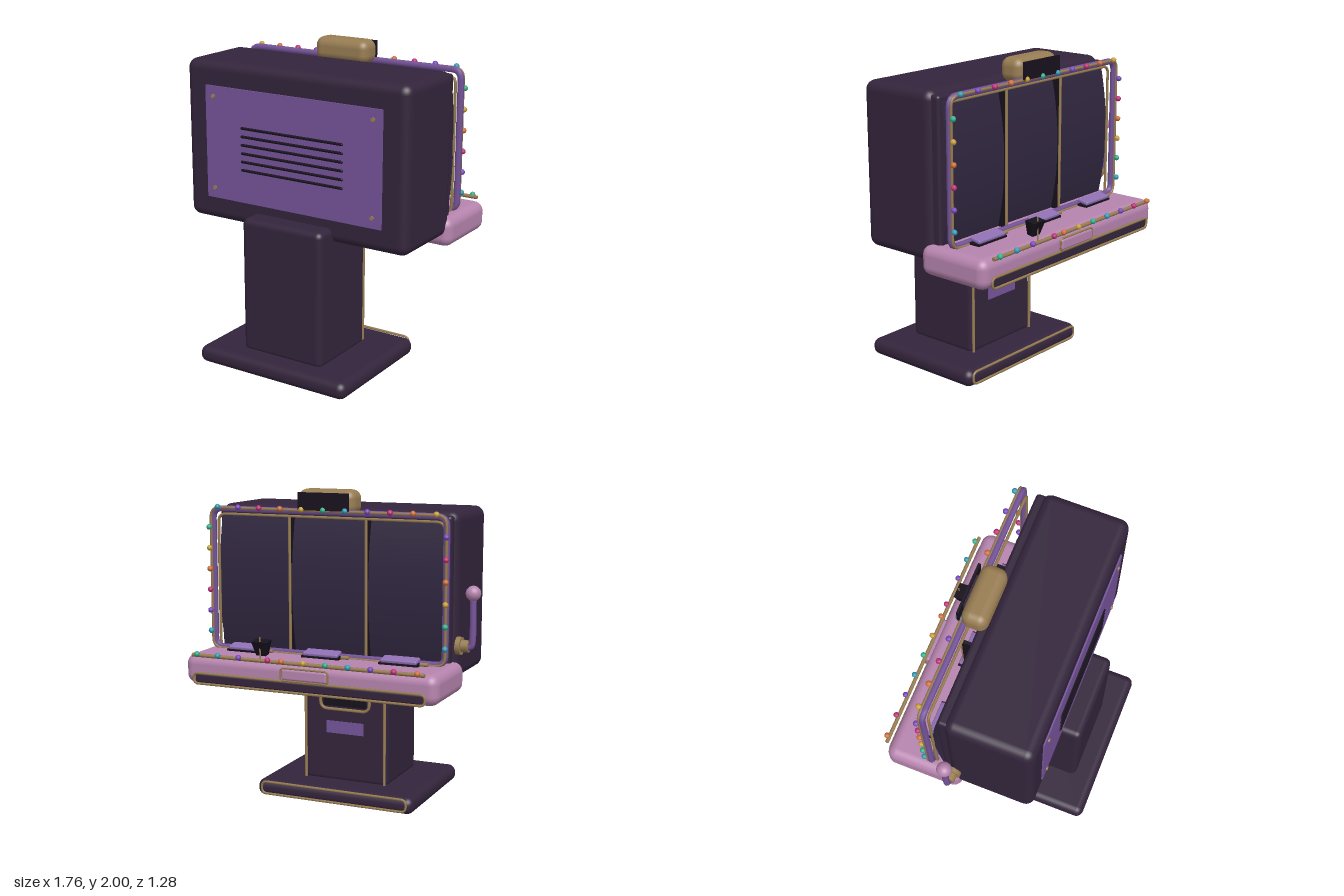
import * as THREE from 'three';
import { RoundedBoxGeometry } from 'three/addons/geometries/RoundedBoxGeometry.js';

const mat = (color, side = THREE.FrontSide) => new THREE.MeshStandardMaterial({ color, side });
const DARK = mat(0x33243b), REEL = mat(0x30263f, THREE.DoubleSide), BLACK = mat(0x17111d);
const PINK = mat(0xb684ae), PURPLE = mat(0x75549a), LILAC = mat(0x8f70b4), GOLD = mat(0x977c52);
const BULBS = [0xd0703a, 0xc02f78, 0x7a48c0, 0x2f9db8, 0x2fb08c, 0xc8a03c].map((c) => mat(c));
const CX = 0.05; // the cabinet's own centre line, shifted by the lever

export function createModel() {
  const root = new THREE.Group();

  function add(name, geometry, material, x = 0, y = 0, z = 0) {
    const mesh = new THREE.Mesh(geometry, material);
    mesh.name = name;
    mesh.position.set(x, y, z);
    root.add(mesh);
    return mesh;
  }
  // Box given by its limits, rounded when r > 0
  function block(name, material, [x0, x1], [y0, y1], [z0, z1], r = 0) {
    const size = [x1 - x0, y1 - y0, z1 - z0];
    const geo = r ? new RoundedBoxGeometry(...size, 4, r) : new THREE.BoxGeometry(...size);
    return add(name, geo, material, (x0 + x1) / 2, (y0 + y1) / 2, (z0 + z1) / 2);
  }
  // Rounded rectangular loop of tube in a plane of constant z
  function loop(name, material, [x0, x1], [y0, y1], z, corner, radius) {
    const path = new THREE.CurvePath();
    const v = (x, y) => new THREE.Vector3(x, y, z);
    const corners = [[x1, y0, 1, 0], [x1, y1, 0, 1], [x0, y1, -1, 0], [x0, y0, 0, -1]];
    let last = v(x0 + corner, y0);
    corners.forEach(([x, y, dx, dy]) => {
      const a = v(x - dx * corner, y - dy * corner);
      const b = v(x - dy * corner, y + dx * corner);
      path.add(new THREE.LineCurve3(last, a));
      path.add(new THREE.QuadraticBezierCurve3(a, v(x, y), b));
      last = b;
    });
    return add(name, new THREE.TubeGeometry(path, 200, radius, 6, true), material);
  }
  // Straight rod along one axis
  function rod(name, material, axis, length, radius, x, y, z, sides = 10) {
    const geo = new THREE.CylinderGeometry(radius, radius, length, sides);
    if (axis === 'x') geo.rotateZ(Math.PI / 2);
    if (axis === 'z') geo.rotateX(Math.PI / 2);
    return add(name, geo, material, x, y, z);
  }

  // Base and pedestal
  block('base', DARK, [-0.49, 0.59], [0, 0.11], [-0.22, 0.64], 0.05);
  loop('baseTrim', GOLD, [-0.45, 0.55], [0.023, 0.102], -0.22, 0.035, 0.008);
  block('pedestal', DARK, [-0.24, 0.34], [0.09, 0.965], [-0.015, 0.5], 0.04);
  for (const s of [-1, 1]) rod('pedestalTrim', GOLD, 'y', 0.76, 0.009, CX + s * 0.275, 0.48, -0.02);
  loop('trayTrim', GOLD, [-0.12, 0.22], [0.58, 0.73], -0.02, 0.05, 0.01);
  block('trayOpening', BLACK, [-0.1, 0.2], [0.6, 0.71], [-0.02, -0.01]);
  block('pedestalPlate', PURPLE, [-0.08, 0.18], [0.42, 0.5], [-0.021, -0.01]);

  // Thin curved tray lip
  const lip = new THREE.PlaneGeometry(0.2, 1, 1, 10);
  const lp = lip.attributes.position;
  for (let i = 0; i < lp.count; i++) {
    const t = lp.getY(i) + 0.5;
    lp.setXYZ(i, lp.getX(i) * (1 - 0.4 * t), 0.78 - 0.015 * t - 0.037 * t * t, -0.05 - 0.13 * t);
  }
  lip.computeVertexNormals();
  add('trayLip', lip, REEL, CX);

  // Cabinet
  block('cabinet', DARK, [-0.745, 0.845], [0.87, 1.885], [-0.175, 0.37], 0.06);
  block('cabinetFace', DARK, [-0.72, 0.82], [0.895, 1.86], [-0.215, -0.1], 0.02);

  // Service panel with vents and screws
  block('servicePanel', PURPLE, [-0.585, 0.68], [1.02, 1.735], [0.365, 0.38]);
  for (let i = 0; i < 6; i++) {
    const vent = add('vent', new THREE.CapsuleGeometry(0.009, 0.72, 3, 8), BLACK, CX, 1.495 - i * 0.053, 0.381);
    vent.rotation.z = Math.PI / 2;
  }
  for (const x of [-0.525, 0.62]) for (const y of [1.085, 1.67]) rod('screw', GOLD, 'z', 0.012, 0.013, x, y, 0.384, 12);

  // Bulging reel windows and the dividers between them
  for (let i = 0; i < 3; i++) {
    const reel = new THREE.PlaneGeometry(0.495, 0.87, 1, 16);
    const p = reel.attributes.position;
    for (let k = 0; k < p.count; k++) p.setZ(k, 0.052 * (1 - (p.getY(k) / 0.435) ** 2));
    reel.computeVertexNormals();
    reel.rotateY(Math.PI);
    add('reelWindow', reel, REEL, CX + (i - 1) * 0.505, 1.4, -0.214);
  }
  for (const x of [CX - 0.255, CX + 0.255]) {
    block('reelDivider', BLACK, [x - 0.01, x + 0.01], [0.97, 1.83], [-0.27, -0.21]);
    rod('dividerTrim', GOLD, 'y', 0.86, 0.009, x, 1.4, -0.274);
  }

  // Marquee frame: gold inner loop, purple tube, gold outer loop
  loop('innerFrame', GOLD, [-0.7, 0.8], [0.97, 1.83], -0.273, 0.05, 0.009);
  loop('marqueeFrame', PURPLE, [-0.722, 0.822], [0.99, 1.865], -0.3, 0.06, 0.02);
  loop('outerFrame', GOLD, [-0.728, 0.828], [0.985, 1.872], -0.32, 0.06, 0.009);

  // Console
  block('console', PINK, [-0.78, 0.88], [0.8, 0.985], [-0.595, -0.1], 0.06);
  rod('consoleRail', GOLD, 'x', 1.52, 0.012, CX, 0.99, -0.61);
  block('consoleStrip', DARK, [-0.7, 0.8], [0.815, 0.87], [-0.602, -0.55], 0.01);
  loop('consoleStripTrim', GOLD, [-0.71, 0.81], [0.81, 0.875], -0.602, 0.03, 0.008);
  block('consolePlaque', PINK, [-0.1, 0.2], [0.885, 0.955], [-0.622, -0.58], 0.015);
  loop('plaqueTrim', GOLD, [-0.105, 0.205], [0.882, 0.958], -0.612, 0.025, 0.006);

  // Tilted buttons in front of each reel
  for (const x of [-0.46, CX, 0.565]) {
    block('buttonBed', BLACK, [x - 0.125, x + 0.125], [0.98, 0.997], [-0.395, -0.32]);
    const button = add('button', new RoundedBoxGeometry(0.23, 0.025, 0.08, 2, 0.01), LILAC, x, 1.012, -0.354);
    button.rotation.x = -0.2;
    rod('buttonPeg', GOLD, 'x', 0.05, 0.012, x - 0.15, 0.995, -0.35);
  }

  // Small tapered reader on a stem
  const reader = add('reader', new THREE.CylinderGeometry(0.075, 0.045, 0.09, 4), BLACK, 0.365, 1.055, -0.54);
  reader.geometry.rotateY(Math.PI / 4);
  reader.geometry.scale(1, 1, 0.65);
  reader.rotation.x = -0.15;
  rod('readerStem', GOLD, 'y', 0.15, 0.005, 0.365, 1.05, -0.565, 6);

  // Topper
  block('topper', GOLD, [-0.14, 0.24], [1.85, 2.0], [-0.315, -0.155], 0.055);
  block('topperPlate', BLACK, [-0.115, 0.215], [1.875, 1.982], [-0.34, -0.325]);
  block('topperMount', DARK, [-0.05, 0.15], [1.88, 1.96], [-0.33, -0.3]);

  // Lever
  rod('leverMount', GOLD, 'x', 0.03, 0.055, -0.757, 1.085, -0.145, 16);
  rod('leverHub', GOLD, 'x', 0.06, 0.037, -0.787, 1.085, -0.145, 16);
  const leverPath = new THREE.CatmullRomCurve3([[-0.8, 1.075], [-0.83, 1.085], [-0.838, 1.13], [-0.838, 1.39]]
    .map(([x, y]) => new THREE.Vector3(x, y, -0.145)));
  add('leverArm', new THREE.TubeGeometry(leverPath, 20, 0.02, 10), PURPLE);
  add('leverKnob', new THREE.SphereGeometry(0.046, 20, 14), PINK, -0.838, 1.405, -0.145);

  // Light bulbs around the frame and along the console
  const bulbGeo = new THREE.IcosahedronGeometry(0.018, 1);
  const bulb = (i, x, y, z) => add('bulb', bulbGeo, BULBS[i % 6], x, y, z);
  for (let i = 0; i < 11; i++) {
    const x = -0.67 + i * 0.144;
    bulb(i + 5, x, 1.878, -0.338);
    bulb(i, i === 7 ? 0.285 : x, 1.0, -0.625);
  }
  for (let i = 0; i < 6; i++) {
    bulb(i + 3, -0.732, 1.095 + i * 0.131, -0.338);
    bulb(5 - i + 4, 0.832, 1.095 + i * 0.131, -0.338);
  }
  return root;
}
